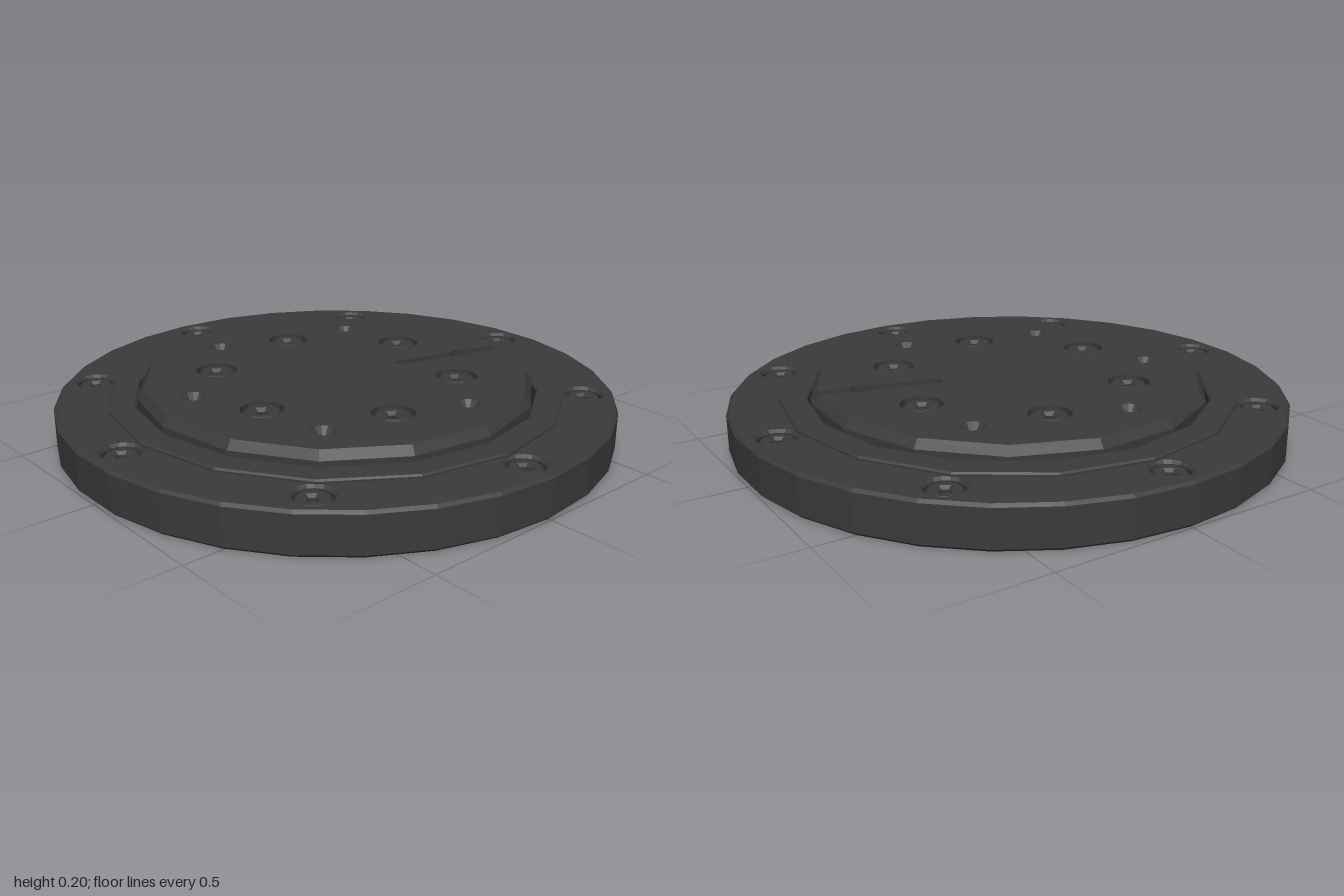
import * as THREE from 'three';

const DEG = Math.PI / 180;

// Regular polygon outline; angles run from +x towards +z
function ngon(r, n, start = 0, cx = 0, cz = 0) {
  return Array.from({ length: n }, (_, i) => {
    const a = start + (i / n) * Math.PI * 2;
    return new THREE.Vector2(cx + r * Math.cos(a), -(cz + r * Math.sin(a)));
  });
}
const polar = (r, deg) => [r * Math.cos(deg * DEG), r * Math.sin(deg * DEG)];

// Flat plate with holes between two heights, with optional small chamfer
function plate(outline, holes, y0, y1, bevel = 0) {
  const shape = new THREE.Shape([...outline].reverse());
  holes.forEach((h) => shape.holes.push(new THREE.Path(h)));
  const geo = new THREE.ExtrudeGeometry(shape, {
    depth: y1 - y0 - 2 * bevel, bevelEnabled: bevel > 0, bevelThickness: bevel,
    bevelSize: bevel, bevelOffset: -bevel, bevelSegments: 1,
  });
  geo.rotateX(-Math.PI / 2);
  geo.translate(0, y0 + bevel, 0);
  return geo;
}

// Draw in the outer rim at one height to make a sloped edge
function taperRim(geo, y, scale) {
  const p = geo.attributes.position;
  for (let i = 0; i < p.count; i++) {
    if (Math.abs(p.getY(i) - y) < 1e-4 && Math.hypot(p.getX(i), p.getZ(i)) > 0.65) {
      p.setXYZ(i, p.getX(i) * scale, y, p.getZ(i) * scale);
    }
  }
  geo.computeVertexNormals();
  return geo;
}

// Disc outline with a radial slot that widens around the pin hole
const SLOT = -75;
const SIDES = 15;
function slottedDisc(r, inner, halfWidth, bulge) {
  const pts = ngon(r, SIDES, SLOT * DEG).slice(1);
  const side = [[r, halfWidth], [0.54 + bulge, halfWidth], [0.555, bulge], [0.525, bulge],
    [0.54 - bulge, halfWidth], [inner + 0.01, halfWidth], [inner, halfWidth * 0.5]];
  const [c, s] = polar(1, SLOT);
  const place = ([u, v]) => new THREE.Vector2(u * c - v * s, -(u * s + v * c));
  const near = side.map(([u, v]) => place([u, -v]));
  const far = side.map(([u, v]) => place([u, v])).reverse();
  return [...pts, ...near, ...far];
}

export function createModel() {
  const model = new THREE.Group();
  const dark = new THREE.MeshStandardMaterial({ color: 0x3a3a3a, flatShading: true });
  const darkOpen = new THREE.MeshStandardMaterial({ color: 0x3a3a3a, flatShading: true, side: THREE.DoubleSide });
  const add = (name, geo, parent = model, mat = dark) => {
    const mesh = new THREE.Mesh(geo, mat);
    mesh.name = name;
    parent.add(mesh);
    return mesh;
  };

  // Outer ring with its screw holes and raised inner lip
  const ringSpots = Array.from({ length: 8 }, (_, i) => polar(0.89, i * 45));
  const ringHoles = ringSpots.map(([x, z]) => ngon(0.063, 16, 0, x, z));
  add('outerRing', plate(ngon(1, 30), [ngon(0.755, 30), ...ringHoles], 0, 0.15, 0.01));
  add('innerLip', plate(ngon(0.82, 16), [ngon(0.722, 16)], 0.06, 0.162, 0.006));

  // Socket screws sunk in the ring
  const screwHead = plate(ngon(0.06, 16), [ngon(0.022, 6)], 0.1, 0.14, 0.01);
  const screwBody = new THREE.CylinderGeometry(0.063, 0.063, 0.1, 16).translate(0, 0.06, 0);
  ringSpots.forEach(([x, z]) => {
    const screw = new THREE.Group();
    screw.name = 'ringScrew';
    screw.position.set(x, 0, z);
    add('screwHead', screwHead, screw);
    add('screwBody', screwBody, screw);
    model.add(screw);
  });

  // Centre disc: slotted top, solid core, slotted underside with recess
  const disc = new THREE.Group();
  disc.name = 'centreDisc';
  model.add(disc);
  const R = 0.715;
  const boltSpots = Array.from({ length: 6 }, (_, i) => polar(0.435, 15 + i * 60));
  const pitSpots = Array.from({ length: 5 }, (_, i) => polar(0.54, -15 + i * 60));
  const pin = ngon(0.009, 8, 0, ...polar(0.54, SLOT));
  const topHoles = [
    ...boltSpots.map(([x, z]) => ngon(0.075, 16, 0, x, z)),
    ...pitSpots.map(([x, z]) => ngon(0.043, 12, 0, x, z)),
  ];
  add('discTop', taperRim(plate(slottedDisc(R, 0.25, 0.022, 0.036), topHoles, 0.175, 0.205), 0.205, 0.968), disc);
  add('discCore', plate(ngon(R, SIDES, SLOT * DEG), [pin, ngon(0.21, 16)], 0.12, 0.175), disc);
  add('discUnderside', taperRim(plate(slottedDisc(R, 0.27, 0.022, 0.024), [ngon(0.25, 16)], 0.09, 0.12), 0.09, 0.968), disc);
  add('recessFloor', new THREE.CylinderGeometry(0.22, 0.22, 0.02, 16).translate(0, 0.175, 0), disc);

  // Countersunk pits
  const pitCone = new THREE.CylinderGeometry(0.043, 0.02, 0.028, 12, 1, true).translate(0, 0.19, 0);
  pitSpots.forEach(([x, z]) => add('countersink', pitCone, disc, darkOpen).position.set(x, 0, z));

  // Bolts through the disc, shanks standing proud underneath
  const boltHead = plate(ngon(0.068, 16), [ngon(0.022, 6)], 0.17, 0.2, 0.012);
  const shank = new THREE.LatheGeometry([[0, 0.015], [0.03, 0.015], [0.035, 0.02], [0.035, 0.13]]
    .map(([r, y]) => new THREE.Vector2(r, y)), 12);
  boltSpots.forEach(([x, z]) => {
    const bolt = new THREE.Group();
    bolt.name = 'discBolt';
    bolt.position.set(x, 0, z);
    add('boltHead', boltHead, bolt);
    add('boltShank', shank, bolt);
    disc.add(bolt);
  });
  return model;
}
